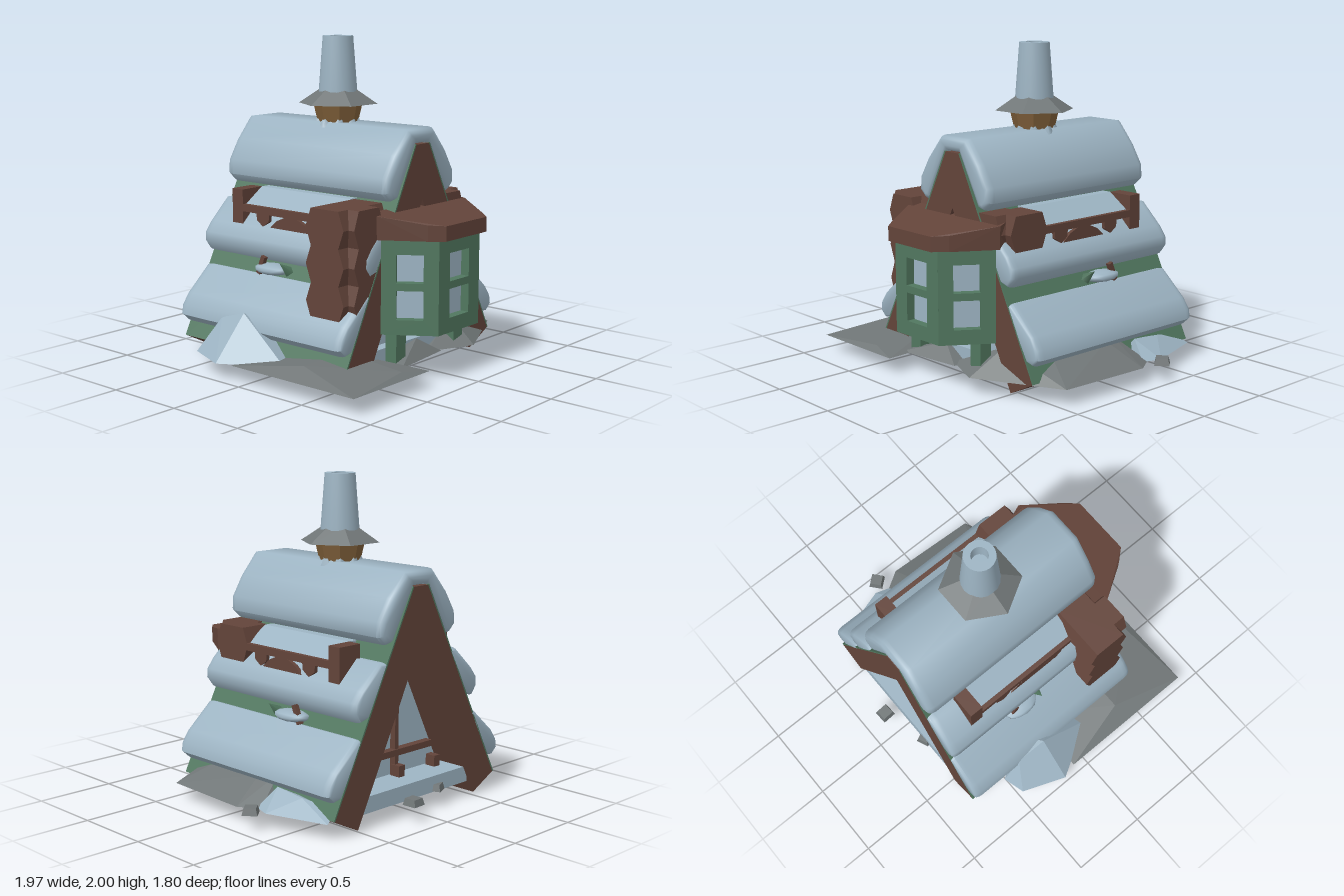
import * as THREE from 'three';
import { toCreasedNormals } from 'three/addons/utils/BufferGeometryUtils.js';
import { ConvexGeometry } from 'three/addons/geometries/ConvexGeometry.js';

const material = (name, color, side = THREE.FrontSide) => {
  const m = new THREE.MeshStandardMaterial({ color, side });
  m.name = name;
  return m;
};
const snow = material('snow', 0x9db4c3, THREE.DoubleSide);
const green = material('green paint', 0x51775f);
const brown = material('dark timber', 0x63443a);
const wood = material('light wood', 0x80603a);
const stone = material('stone', 0x707677);

const FRONT = 0.57, BACK = -0.77, LENGTH = FRONT - BACK;

export function createModel() {
  const house = new THREE.Group();
  house.name = 'alpineHut';

  const add = (name, geometry, mat, parent = house) => {
    const mesh = new THREE.Mesh(geometry, mat);
    mesh.name = name;
    parent.add(mesh);
    return mesh;
  };
  const box = (name, mat, w, h, d, x, y, z, parent) => {
    const mesh = add(name, new THREE.BoxGeometry(w, h, d), mat, parent);
    mesh.position.set(x, y, z);
    return mesh;
  };
  const shapeOf = (points, side = 1) =>
    new THREE.Shape(points.map(([x, y]) => new THREE.Vector2(x * side, y)));
  // Flat profile pushed along z from z0 to z1
  const prism = (name, mat, points, z0, z1, side = 1) => {
    const g = new THREE.ExtrudeGeometry(shapeOf(points, side), { depth: z1 - z0, bevelEnabled: false });
    g.translate(0, 0, z0);
    return add(name, g, mat);
  };
  // Profile in z and y pushed along x
  const crossPrism = (name, mat, points, x0, x1) => {
    const g = new THREE.ExtrudeGeometry(shapeOf(points, -1), { depth: x1 - x0, bevelEnabled: false });
    g.rotateY(Math.PI / 2).translate(x0, 0, 0);
    return add(name, g, mat);
  };
  const hull = (name, mat, points) =>
    add(name, new ConvexGeometry(points.map((p) => new THREE.Vector3(...p))), mat);
  // Rounded snow blanket running the length of the roof
  const blanket = (name, points, side, size) => {
    const t = 0.05;
    let g = new THREE.ExtrudeGeometry(shapeOf(points, side), {
      depth: LENGTH - 2 * t, bevelThickness: t, bevelSize: size, bevelOffset: -size, bevelSegments: 3,
    });
    g.translate(0, 0, BACK + t);
    g = toCreasedNormals(g, 0.9);
    add(name, g, snow);
  };

  // A-shaped timber body, open underneath the ridge
  prism('timberFrame', brown, [
    [-0.06, 1.38], [-0.7, 0.11], [-0.515, 0.015], [0, 1.045],
    [0.515, 0.015], [0.7, 0.11], [0.06, 1.38],
  ], BACK, FRONT);

  for (const side of [1, -1]) {
    // Green roof boards and two lower snow layers
    prism('roofBoards', green, [[0.06, 1.38], [0.7, 0.11], [0.709, 0.114], [0.069, 1.384]], BACK, FRONT, side);
    blanket('middleSnow', [
      [0.26, 0.96], [0.33, 0.965], [0.48, 0.825], [0.53, 0.76], [0.535, 0.7], [0.49, 0.64], [0.42, 0.66],
    ], side, 0.018);
    blanket('lowerSnow', [
      [0.46, 0.54], [0.51, 0.55], [0.69, 0.39], [0.74, 0.32], [0.75, 0.26], [0.7, 0.215], [0.64, 0.23],
    ], side, 0.018);
  }
  blanket('ridgeSnow', [
    [-0.12, 1.47], [-0.24, 1.33], [-0.32, 1.2], [-0.325, 1.11], [-0.27, 1.06], [-0.22, 1.07], [-0.05, 1.38],
    [0.05, 1.38], [0.22, 1.07], [0.27, 1.06], [0.325, 1.11], [0.32, 1.2], [0.24, 1.33], [0.12, 1.47],
  ], 1, 0.035);

  // Floor, end walls and rear window bars
  box('floor', snow, 0.92, 0.1, LENGTH - 0.02, 0, 0.145, -0.1);
  for (const [name, z] of [['rearGlass', -0.55], ['frontGlass', 0.48]])
    prism(name, snow, [[-0.45, 0.12], [0.45, 0.12], [0, 1.03]], z, z + 0.01);
  box('rearMullion', brown, 0.03, 0.75, 0.04, 0, 0.56, -0.57);
  box('rearRail', brown, 0.62, 0.04, 0.05, 0, 0.34, -0.575);
  for (const x of [-0.32, 0, 0.32]) box('railFoot', brown, 0.05, 0.07, 0.07, x, 0.23, -0.6);
  hull('woodenKeel', wood, [-0.19, 0].flatMap((z) => [
    [-0.28, 0.1, z], [0.28, 0.1, z], [-0.21, 0, z], [0.21, 0, z],
  ]));

  // Side balconies with stacked log corners
  const zigzag = (centre, half, tiers) => {
    const edge = [];
    for (let i = 0; i <= tiers * 2; i++) edge.push([half - (i % 2 ? 0 : 0.04), 1.05 - i * 0.11]);
    return [...edge.map(([w, y]) => [centre + w, y]),
      ...edge.reverse().map(([w, y]) => [centre - w, y])];
  };
  for (const side of [1, -1]) {
    const tiers = side > 0 ? 1 : 3;
    const end = side > 0 ? 0.47 : 0.67;
    const xs = [side * 0.28, side * end].sort((a, b) => a - b);
    crossPrism('logsAcross', brown, zigzag(0.38, 0.145, tiers), xs[0], xs[1]);
    prism('logsAlong', brown, zigzag(end - 0.175, 0.13, tiers), 0.36, FRONT - 0.003, side);

    const post = box('balconyPost', brown, 0.17, 0.22, 0.09, side * 0.385, 0.94, -0.525);
    post.name = 'balconyPost';
    box('balconyRail', brown, 0.03, 0.045, 0.77, side * 0.455, 0.935, -0.12);
    prism('balconySnow', snow, [[0.22, 1.05], [0.3, 1.05], [0.45, 0.95], [0.45, 0.92], [0.25, 0.98]], -0.48, 0.26, side);
    // Carved trim below the rail
    const x0 = side * 0.455 - 0.012;
    crossPrism('archTrim', brown, [
      [0.1, 0.835], [0.04, 0.885], [-0.03, 0.915], [-0.12, 0.915], [-0.19, 0.885], [-0.25, 0.835],
    ], x0, x0 + 0.024);
    for (const z of [0.115, -0.31]) crossPrism('scallop', brown, [
      [z + 0.055, 0.915], [z + 0.05, 0.87], [z, 0.835], [z - 0.05, 0.87], [z - 0.055, 0.915],
    ], x0, x0 + 0.024);

    // Snow-covered shrub caught on the roof
    const lump = add('snowLump', new THREE.IcosahedronGeometry(1, 1), snow);
    lump.scale.set(0.085, 0.035, 0.13);
    lump.position.set(side * 0.5, 0.59, -0.2);
    const leaf = add('leaf', new THREE.ConeGeometry(0.035, 0.1, 4), green);
    leaf.position.set(side * 0.53, 0.62, -0.07);
    leaf.rotation.z = -side * 0.9;
    box('twig', brown, 0.03, 0.12, 0.03, side * 0.52, 0.61, -0.27).rotation.x = 0.4;
  }

  // Bay window made from three framed walls
  const rect = (x0, y0, x1, y1) => new THREE.Path([
    [x0, y0], [x0, y1], [x1, y1], [x1, y0]].map((p) => new THREE.Vector2(...p)));
  const bayWall = (name, width, pane, x, z, angle) => {
    const wall = new THREE.Group();
    wall.name = name;
    wall.position.set(x, 0, z);
    wall.rotation.y = angle;
    const w = width / 2, p = pane / 2;
    const shape = shapeOf([[-w, 0.29], [w, 0.29], [w, 0.87], [-w, 0.87]]);
    shape.holes.push(rect(-p, 0.38, p, 0.555), rect(-p, 0.6, p, 0.77));
    const g = new THREE.ExtrudeGeometry(shape, { depth: 0.06, bevelEnabled: false });
    g.translate(0, 0, -0.06);
    add('windowFrame', g, green, wall);
    box('windowGlass', snow, pane + 0.02, 0.41, 0.008, 0, 0.575, -0.06, wall);
    house.add(wall);
  };
  bayWall('bayFront', 0.4, 0.19, 0, 0.85, 0);
  for (const side of [1, -1]) {
    bayWall('baySide', 0.338, 0.16, side * 0.295, 0.71, side * 0.975);
    box('bayPost', green, 0.09, 0.2, 0.08, side * 0.285, 0.2, 0.6);
  }
  const bayPlan = [[-0.385, 0.56], [-0.198, 0.845], [0.198, 0.845], [0.385, 0.56]];
  hull('bayFloor', green, bayPlan.flatMap(([x, z]) => [[x, 0.291, z], [x, 0.32, z]]));
  hull('bayRoof', brown, [1, -1].flatMap((s) => [
    [s * 0.425, 0.86, 0.57], [s * 0.27, 0.86, 0.82], [s * 0.2, 0.86, 0.9],
    [s * 0.43, 1.0, 0.57], [s * 0.27, 0.955, 0.82], [s * 0.2, 0.95, 0.9],
    [s * 0.4, 0.86, 0.5], [s * 0.4, 1.01, 0.5],
  ]));

  // Chimney: wooden collar, stone brim and hollow snowy pipe
  const chimney = new THREE.Group();
  chimney.name = 'chimney';
  chimney.position.set(0, 0, -0.1);
  house.add(chimney);
  const collar = new THREE.CylinderGeometry(0.155, 0.115, 0.17, 8).toNonIndexed();
  collar.computeVertexNormals();
  add('chimneyCollar', collar, wood, chimney).position.y = 1.5;
  const mound = add('chimneySnowBase', new THREE.SphereGeometry(0.13, 16, 8), snow, chimney);
  mound.scale.set(1, 0.5, 0.85);
  mound.position.y = 1.455;
  for (let i = 0; i < 8; i++) {
    const a = (i / 8) * Math.PI * 2;
    const spike = add('snowPeak', new THREE.ConeGeometry(0.045, 0.1, 5), snow, chimney);
    spike.position.set(Math.sin(a) * 0.11, 1.49, Math.cos(a) * 0.11);
  }
  const brim = new THREE.CylinderGeometry(0.1, 0.25, 0.1, 6).toNonIndexed();
  brim.rotateY(Math.PI / 6).computeVertexNormals();
  add('chimneyBrim', brim, stone, chimney).position.y = 1.63;
  const pipe = new THREE.LatheGeometry([
    [0.12, 1.62], [0.12, 1.67], [0.095, 2], [0.052, 2], [0.05, 1.9], [0, 1.9],
  ].map((p) => new THREE.Vector2(...p)), 20);
  add('chimneyPipe', toCreasedNormals(pipe, 0.6), snow, chimney);

  // Flagstones, rock banks and drifts around the base
  hull('flagstone', stone, [
    [-0.96, 0.1, -0.1], [-0.96, 0.1, 0.85], [-0.28, 0.1, 0.85], [-0.3, 0.1, 0.5], [-0.5, 0.1, -0.1],
    [-0.84, 0.165, 0.37], [-0.48, 0.165, 0.37], [-0.48, 0.13, 0.8],
  ]);
  hull('rockBank', stone, [
    [0.03, 0.1, 0.6], [0.33, 0.1, 0.73], [0.87, 0.1, 0.46], [0.9, 0.1, -0.15], [0.82, 0.1, -0.28],
    [0.5, 0.1, -0.3], [0.38, 0.25, 0.5], [0.6, 0.23, 0.33], [0.66, 0.23, -0.08], [0.6, 0.24, -0.18],
  ]);
  hull('frontStep', stone, [
    [-0.35, 0.1, 0.5], [-0.35, 0.1, 0.7], [0.1, 0.1, 0.65], [0.1, 0.1, 0.5],
    [-0.3, 0.13, 0.6], [0, 0.13, 0.58], [-0.06, 0.2, 0.58],
  ]);
  hull('leftDrift', snow, [
    [-0.99, 0.1, -0.2], [-0.88, 0.1, -0.48], [-0.74, 0.1, -0.52], [-0.78, 0.1, 0.16], [-0.6, 0.1, 0.1],
    [-0.86, 0.18, -0.22], [-0.75, 0.36, -0.2], [-0.74, 0.3, -0.4], [-0.6, 0.3, -0.3],
  ]);
  hull('rightDrift', snow, [
    [0.74, 0.1, -0.75], [0.8, 0.1, -0.5], [0.86, 0.1, -0.36], [0.82, 0.1, -0.24], [0.6, 0.1, -0.28],
    [0.7, 0.21, -0.29], [0.7, 0.19, -0.5], [0.62, 0.15, -0.7],
  ]);
  for (const [x, z, r, turn] of [[0.92, -0.3, 0.065, 0.7], [0.13, -0.85, 0.065, 0.05], [-0.18, -0.75, 0.06, 0.4]]) {
    const g = new THREE.CylinderGeometry(r * 0.8, r, 0.042, 4, 1).toNonIndexed();
    g.rotateY(Math.PI / 4 + turn).computeVertexNormals();
    add('looseStone', g, stone).position.set(x, 0.121, z);
  }
  return house;
}
